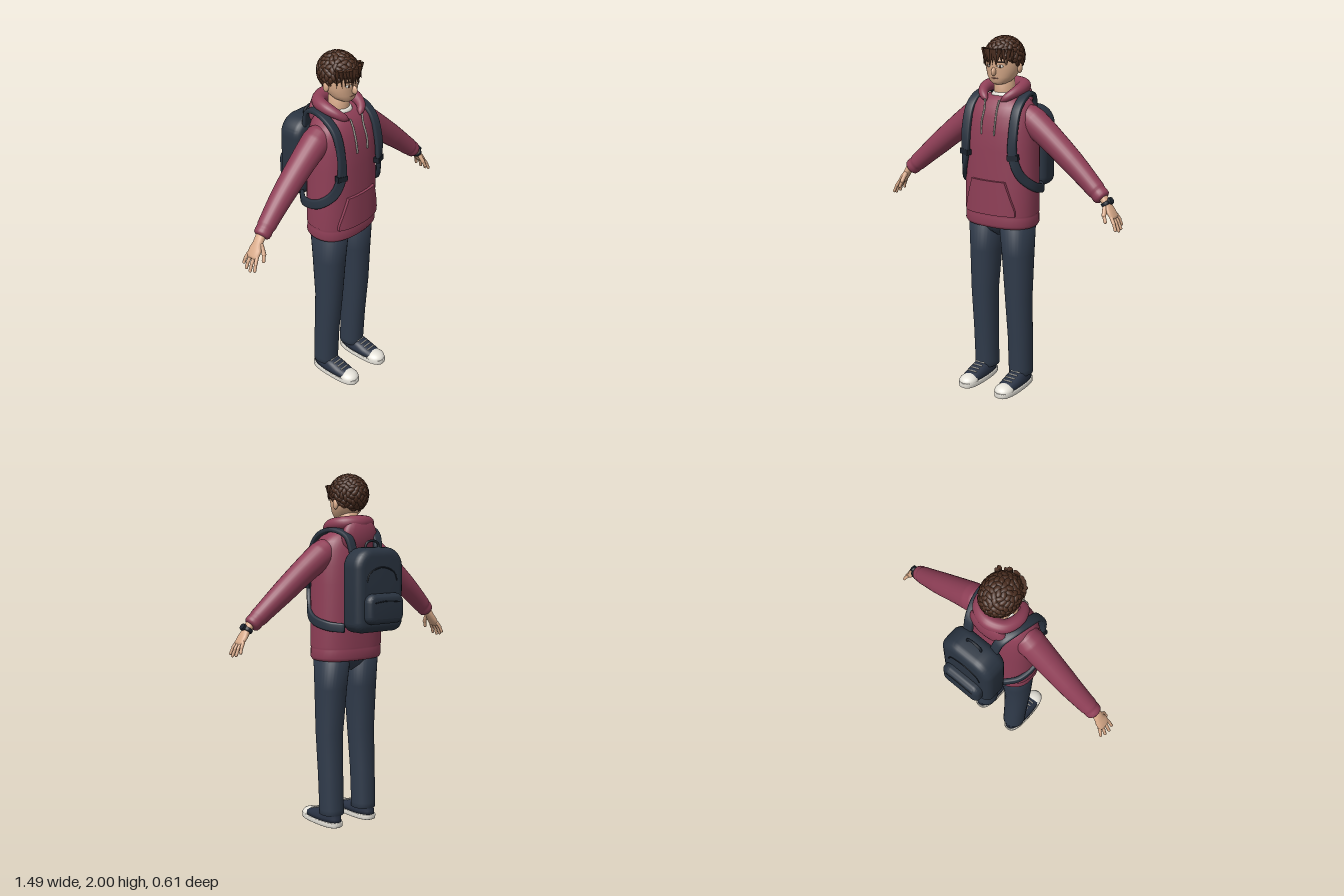
import * as THREE from 'three';
import { mergeGeometries, toCreasedNormals } from 'three/addons/utils/BufferGeometryUtils.js';

const V = (x, y, z) => new THREE.Vector3(x, y, z);
const mat = (name, color) => new THREE.MeshStandardMaterial({ name, color });
const M = {
  hoodie: mat('burgundy cotton', 0x8f3f57), denim: mat('dark denim', 0x303b4b),
  pack: mat('backpack fabric', 0x2a3441), trim: mat('dark trim', 0x1c232d),
  skin: mat('skin', 0xd9ab8a), hair: mat('brown hair', 0x4a2d1f),
  white: mat('off white', 0xe6e3da), cord: mat('cord grey', 0xb9b6ae),
  shoe: mat('navy canvas', 0x2a3344), lip: mat('lip', 0xa9705f),
};

function add(parent, name, geo, material, pos = [0, 0, 0], rot = [0, 0, 0], scale = [1, 1, 1]) {
  const m = new THREE.Mesh(geo, material);
  m.name = name;
  m.position.set(...pos); m.rotation.set(...rot); m.scale.set(...scale);
  parent.add(m);
  return m;
}

// Closed skin over a row of point rings
function skinRings(rings) {
  const n = rings[0].length, pos = [], idx = [];
  rings.forEach(r => r.forEach(p => pos.push(p.x, p.y, p.z)));
  for (let i = 0; i < rings.length - 1; i++) for (let j = 0; j < n; j++) {
    const a = i * n + j, b = i * n + (j + 1) % n, c = a + n, d = b + n;
    idx.push(a, c, b, b, c, d);
  }
  [0, rings.length - 1].forEach((ri, end) => {
    const mid = rings[ri].reduce((s, p) => s.add(p), V(0, 0, 0)).divideScalar(n);
    const k = pos.length / 3;
    pos.push(mid.x, mid.y, mid.z);
    for (let j = 0; j < n; j++) {
      const a = ri * n + j, b = ri * n + (j + 1) % n;
      if (end) idx.push(k, b, a); else idx.push(k, a, b);
    }
  });
  const g = new THREE.BufferGeometry();
  g.setAttribute('position', new THREE.Float32BufferAttribute(pos, 3));
  g.setIndex(idx);
  g.computeVertexNormals();
  return g;
}

const pw = (v, n) => Math.sign(v) * Math.abs(v) ** (2 / n);

// Horizontal sections [y, cx, cz, rx, rz], lowest first
function loft(sections, n = 2, seg = 32) {
  return skinRings(sections.map(([y, cx, cz, rx, rz]) => Array.from({ length: seg }, (_, j) => {
    const a = j / seg * Math.PI * 2;
    return V(cx + rx * pw(Math.cos(a), n), y, cz + rz * pw(Math.sin(a), n));
  })));
}

// Round tube along points, radii given as [t, r] pairs
function tube(pts, radii, steps = 32, seg = 14) {
  const curve = new THREE.CatmullRomCurve3(pts.map(p => V(...p)));
  const f = curve.computeFrenetFrames(steps, false);
  const radius = t => {
    let k = 1;
    while (k < radii.length - 1 && radii[k][0] < t) k++;
    const [t0, r0] = radii[k - 1], [t1, r1] = radii[k];
    return r0 + (r1 - r0) * (t - t0) / (t1 - t0);
  };
  return skinRings(Array.from({ length: steps + 1 }, (_, i) => {
    const p = curve.getPointAt(i / steps), r = radius(i / steps);
    return Array.from({ length: seg }, (_, j) => {
      const a = j / seg * Math.PI * 2;
      return p.clone().addScaledVector(f.normals[i], r * Math.cos(a)).addScaledVector(f.binormals[i], -r * Math.sin(a));
    });
  }));
}
const cord = (pts, r, steps = 20) => tube(pts, [[0, r], [1, r]], steps, 8);

// Flat strap that hugs the torso
function strap(pts, halfWidth, halfThick) {
  const curve = new THREE.CatmullRomCurve3(pts.map(p => V(...p))), steps = 56;
  return skinRings(Array.from({ length: steps + 1 }, (_, i) => {
    const p = curve.getPointAt(i / steps), t = curve.getTangentAt(i / steps);
    const k = THREE.MathUtils.smoothstep(p.y, 1.2, 1.5);
    const out = p.clone().sub(V(p.x * k, Math.min(p.y, 1.5), 0.055));
    const w = t.clone().cross(out).normalize(), n = w.clone().cross(t);
    return Array.from({ length: 16 }, (_, j) => {
      const a = j / 16 * Math.PI * 2;
      return p.clone().addScaledVector(w, halfWidth * pw(Math.cos(a), 4)).addScaledVector(n, halfThick * pw(Math.sin(a), 4));
    });
  }));
}

// Upright cushion with rounded outline, base at y = 0, centred in z
function cushion(w, h, rTop, rBot, depth, bevel) {
  const s = new THREE.Shape(), P = Math.PI;
  s.absarc(w - rBot, rBot, rBot, -P / 2, 0);
  s.absarc(w - rTop, h - rTop, rTop, 0, P / 2);
  s.absarc(rTop - w, h - rTop, rTop, P / 2, P);
  s.absarc(rBot - w, rBot, rBot, P, 1.5 * P);
  const g = new THREE.ExtrudeGeometry(s, { depth: depth - 2 * bevel, bevelEnabled: true, bevelSize: bevel, bevelThickness: bevel, bevelOffset: -bevel, bevelSegments: 5, curveSegments: 10 });
  return toCreasedNormals(g.translate(0, 0, bevel - depth / 2), 0.7);
}

function limb(parent, name, a, b, r, material) {
  const A = V(...a), B = V(...b), d = B.clone().sub(A);
  const m = add(parent, name, new THREE.CapsuleGeometry(r, d.length(), 4, 10), material);
  m.position.copy(A).add(B).multiplyScalar(0.5);
  m.quaternion.setFromUnitVectors(V(0, 1, 0), d.normalize());
}

const ball = (r = 1) => new THREE.SphereGeometry(r, 20, 14);

function buildHead(root) {
  const g = new THREE.Group(); g.name = 'head'; root.add(g);
  add(g, 'neck', loft([[1.64, 0, 0.035, 0.06, 0.06], [1.7, 0, 0.04, 0.056, 0.058], [1.8, 0, 0.045, 0.056, 0.058]]), M.skin);
  add(g, 'face', loft([[1.742, 0, 0.092, 0.018, 0.02], [1.747, 0, 0.088, 0.035, 0.037], [1.76, 0, 0.077, 0.057, 0.057], [1.785, 0, 0.063, 0.077, 0.076],
    [1.82, 0, 0.05, 0.09, 0.093], [1.86, 0, 0.045, 0.095, 0.104], [1.92, 0, 0.04, 0.092, 0.102], [1.96, 0, 0.04, 0.065, 0.075], [1.98, 0, 0.04, 0.02, 0.03]], 2.15), M.skin);
  add(g, 'nose', ball(), M.skin, [0, 1.815, 0.146], [-0.25, 0, 0], [0.012, 0.024, 0.02]);
  add(g, 'mouth', ball(), M.lip, [0, 1.779, 0.135], [0, 0, 0], [0.022, 0.004, 0.005]);
  for (const s of [-1, 1]) {
    add(g, 'ear', ball(), M.skin, [s * 0.094, 1.83, 0.035], [0, 0, 0], [0.012, 0.028, 0.018]);
    add(g, 'eye', ball(), M.white, [s * 0.038, 1.845, 0.139], [0, s * 0.3, 0], [0.016, 0.008, 0.005]);
    add(g, 'iris', ball(), M.hair, [s * 0.038, 1.845, 0.142], [0, s * 0.3, 0], [0.007, 0.008, 0.004]);
    limb(g, 'eyebrow', [s * 0.022, 1.866, 0.149], [s * 0.055, 1.867, 0.133], 0.004, M.hair);
  }
  // Curly hair: overlapping clumps over a cap, plus a pointed fringe
  let seed = 7;
  const rnd = () => (seed = (seed * 16807) % 2147483647) / 2147483647;
  const clumps = [], N = 210, o = new THREE.Object3D();
  for (let i = 0; i < N; i++) {
    const y = 1 - 2 * (i + 0.5) / N, a = i * 2.39996, r = Math.sqrt(1 - y * y);
    const d = V(r * Math.cos(a), y, r * Math.sin(a));
    if (y < -0.5 + 0.65 * Math.max(d.z, 0) + 0.55 * Math.min(d.z, 0)) continue;
    o.position.set(d.x * 0.094, 1.886 + d.y * 0.099, 0.036 + d.z * 0.109);
    o.quaternion.setFromUnitVectors(V(0, 0, 1), d);
    o.rotateZ(rnd() * 6.28); o.rotateX(rnd() * 0.7 - 0.35);
    o.scale.set(0.026, 0.016, 0.014);
    o.updateMatrix();
    clumps.push(new THREE.SphereGeometry(1, 10, 8).applyMatrix4(o.matrix));
  }
  for (let i = 0; i < 13; i++) {
    const x = -0.088 + i * 0.0147, len = 0.075 + rnd() * 0.03;
    o.position.set(x, 1.935 - len / 2, 0.036 + 0.119 * Math.sqrt(1 - (x / 0.108) ** 2));
    o.rotation.set(Math.PI, 0, (rnd() - 0.5) * 0.5);
    o.scale.set(0.015, len, 0.01);
    o.updateMatrix();
    clumps.push(new THREE.ConeGeometry(1, 1, 8).applyMatrix4(o.matrix));
  }
  add(g, 'hairCap', ball(), M.hair, [0, 1.89, 0.025], [0, 0, 0], [0.095, 0.098, 0.106]);
  add(g, 'hairCurls', mergeGeometries(clumps), M.hair);
}

function buildHoodie(root) {
  const g = new THREE.Group(); g.name = 'hoodie'; root.add(g);
  add(g, 'torso', loft([[0.965, 0, 0.063, 0.19, 0.125], [0.968, 0, 0.063, 0.205, 0.137], [0.985, 0, 0.063, 0.215, 0.147], [1.03, 0, 0.063, 0.214, 0.146],
    [1.037, 0, 0.063, 0.21, 0.142], [1.045, 0, 0.063, 0.216, 0.147], [1.2, 0, 0.062, 0.214, 0.146], [1.4, 0, 0.06, 0.212, 0.145],
    [1.5, 0, 0.059, 0.208, 0.141], [1.58, 0, 0.056, 0.198, 0.131], [1.63, 0, 0.052, 0.18, 0.116], [1.66, 0, 0.048, 0.15, 0.1],
    [1.68, 0, 0.044, 0.11, 0.08], [1.683, 0, 0.044, 0.08, 0.07]], 2.4, 40), M.hoodie);
  add(g, 'shirtCollar', loft([[1.66, 0, 0.045, 0.075, 0.078], [1.692, 0, 0.043, 0.066, 0.068], [1.698, 0, 0.042, 0.06, 0.062]]), M.white);
  // Front pouch bent round the belly
  const pouch = new THREE.BoxGeometry(2, 1, 1, 20, 8, 1), p = pouch.attributes.position;
  for (let i = 0; i < p.count; i++) {
    const v = p.getY(i) + 0.5, y = 1.045 + v * 0.19;
    const x = p.getX(i) * (0.158 - 0.053 * Math.max(0, (v - 0.15) / 0.85));
    const z = 0.063 + 0.147 * (1 - (Math.abs(x) / 0.215) ** 2.4) ** (1 / 2.4);
    p.setXYZ(i, x, y, z + (p.getZ(i) > 0 ? 0.013 : -0.012));
  }
  add(g, 'frontPouch', toCreasedNormals(pouch, 0.6), M.hoodie);
  // Hood rolled down round the neck
  const half = [[0.045, 1.66, 0.15], [0.09, 1.695, 0.115], [0.108, 1.72, 0.045], [0.08, 1.728, -0.03]];
  add(g, 'hoodRoll', tube([...half, [0, 1.73, -0.06], ...half.slice().reverse().map(([x, y, z]) => [-x, y, z])],
    [[0, 0.004], [0.04, 0.02], [0.2, 0.032], [0.5, 0.042], [0.8, 0.032], [0.96, 0.02], [1, 0.004]], 56, 18), M.hoodie);
  add(g, 'hoodBag', ball(), M.hoodie, [0, 1.655, -0.058], [-0.1, 0, 0], [0.118, 0.105, 0.048]);
  for (const s of [-1, 1]) {
    add(g, 'drawstring', cord([[s * 0.046, 1.67, 0.162], [s * 0.04, 1.62, 0.178], [s * 0.043, 1.55, 0.201], [s * 0.04, 1.485, 0.209]], 0.005), M.cord);
    add(g, 'sleeve', tube([[s * 0.115, 1.605, 0.045], [s * 0.28, 1.486, 0.05], [s * 0.47, 1.333, 0.058], [s * 0.632, 1.194, 0.074]],
      [[0, 0.045], [0.06, 0.07], [0.14, 0.078], [0.35, 0.07], [0.6, 0.063], [0.85, 0.052], [0.91, 0.05], [0.93, 0.045], [0.96, 0.047], [0.99, 0.044], [1, 0.034]], 80, 24), M.hoodie);
  }
}

function buildHand(root, s) {
  const g = new THREE.Group(); g.name = s > 0 ? 'leftHand' : 'rightHand';
  g.position.set(s * 0.638, 1.195, 0.076);
  g.rotation.z = s * 0.62;
  root.add(g);
  add(g, 'palm', loft([[-0.118, 0, 0.002, 0.008, 0.032], [-0.105, 0, 0.002, 0.014, 0.039], [-0.07, 0, 0.002, 0.017, 0.039], [-0.035, 0, 0, 0.019, 0.028], [0.03, 0, 0, 0.024, 0.027]], 2.2, 20), M.skin);
  [[-0.031, 0.052], [-0.011, 0.07], [0.011, 0.076], [0.031, 0.066]].forEach(([z, len]) => {
    const k = -0.105 - len * 0.5;
    limb(g, 'finger', [0, -0.1, z], [-s * 0.002, k, z * 1.25], 0.0095, M.skin);
    limb(g, 'fingertip', [-s * 0.002, k, z * 1.25], [-s * 0.01, -0.105 - len, z * 1.4], 0.0085, M.skin);
  });
  limb(g, 'thumb', [-s * 0.004, -0.035, 0.022], [-s * 0.022, -0.075, 0.048], 0.012, M.skin);
  limb(g, 'thumbTip', [-s * 0.022, -0.075, 0.048], [-s * 0.03, -0.108, 0.056], 0.0095, M.skin);
  if (s > 0) {
    add(g, 'watchBand', loft([[-0.036, 0, 0, 0.025, 0.033], [-0.033, 0, 0, 0.027, 0.035], [-0.019, 0, 0, 0.028, 0.035], [-0.016, 0, 0, 0.026, 0.033]], 2.2, 24), M.trim);
    add(g, 'watchCase', new THREE.CylinderGeometry(0.018, 0.02, 0.012, 20), M.trim, [0.031, -0.026, 0], [0, 0, -Math.PI / 2]);
  }
}

function buildLegs(root) {
  add(root, 'trouserSeat', loft([[0.9, 0, 0.063, 0.02, 0.045], [0.93, 0, 0.063, 0.08, 0.085], [0.96, 0, 0.063, 0.15, 0.105], [1.0, 0, 0.063, 0.19, 0.12]]), M.denim);
  for (const s of [-1, 1]) {
    add(root, 'trouserLeg', loft([[0.066, 0.117, 0.05, 0.055, 0.06], [0.07, 0.117, 0.05, 0.067, 0.072], [0.1, 0.117, 0.05, 0.067, 0.072], [0.3, 0.117, 0.058, 0.069, 0.073],
      [0.55, 0.114, 0.072, 0.075, 0.08], [0.8, 0.107, 0.068, 0.086, 0.096], [0.99, 0.1, 0.064, 0.096, 0.112]]
      .map(([y, x, ...r]) => [y, s * x, ...r]), 2.2), M.denim);
    const shoe = new THREE.Group(); shoe.name = 'shoe'; shoe.position.x = s * 0.122; root.add(shoe);
    add(shoe, 'sole', loft([[0, 0, 0.135, 0.056, 0.158], [0.004, 0, 0.135, 0.061, 0.164], [0.026, 0, 0.135, 0.062, 0.165], [0.031, 0, 0.135, 0.058, 0.161]], 2.7, 40), M.white);
    add(shoe, 'upper', loft([[0.028, 0, 0.132, 0.057, 0.157], [0.05, 0, 0.124, 0.056, 0.147], [0.065, 0, 0.1, 0.053, 0.12], [0.08, 0, 0.075, 0.048, 0.095], [0.096, 0, 0.05, 0.042, 0.07]], 2.4, 36), M.shoe);
    add(shoe, 'toeCap', new THREE.SphereGeometry(1, 24, 10, 0, Math.PI * 2, 0, Math.PI / 2), M.white, [0, 0.029, 0.236], [0, 0, 0], [0.055, 0.037, 0.06]);
    for (let i = 0; i < 4; i++) {
      const z = 0.2 - i * 0.027, y = 0.072 + i * 0.008;
      limb(shoe, 'lace', [-0.026, y, z], [0.026, y, z], 0.004, M.white);
    }
  }
}

function buildBackpack(root) {
  const g = new THREE.Group(); g.name = 'backpack'; root.add(g);
  add(g, 'packBody', cushion(0.165, 0.46, 0.11, 0.06, 0.155, 0.045), M.pack, [0, 1.14, -0.178]);
  add(g, 'packPocket', cushion(0.125, 0.165, 0.05, 0.045, 0.07, 0.03), M.pack, [0, 1.19, -0.267]);
  add(g, 'packZip', cord([[-0.105, 1.42, -0.255], [-0.085, 1.465, -0.255], [0, 1.495, -0.256], [0.085, 1.465, -0.255], [0.105, 1.42, -0.255]], 0.004), M.trim);
  add(g, 'pocketZip', cord([[-0.09, 1.308, -0.3], [0, 1.316, -0.301], [0.09, 1.308, -0.3]], 0.004), M.trim);
  add(g, 'carryHandle', cord([[-0.045, 1.585, -0.168], [-0.04, 1.62, -0.168], [0, 1.635, -0.168], [0.04, 1.62, -0.168], [0.045, 1.585, -0.168]], 0.007), M.trim);
  for (const s of [-1, 1]) {
    add(g, 'shoulderStrap', strap([[0.085, 1.55, -0.12], [0.1, 1.655, -0.085], [0.125, 1.69, -0.015], [0.143, 1.683, 0.07], [0.148, 1.625, 0.15], [0.15, 1.5, 0.192], [0.152, 1.38, 0.197],
      [0.18, 1.275, 0.168], [0.217, 1.205, 0.09], [0.2, 1.17, -0.03], [0.14, 1.16, -0.105]].map(([x, y, z]) => [s * x, y, z]), 0.026, 0.013), M.pack);
    add(g, 'strapBuckle', new THREE.BoxGeometry(0.06, 0.03, 0.032), M.trim, [s * 0.153, 1.375, 0.196], [0, s * 0.25, s * 0.08]);
  }
}

export function createModel() {
  const root = new THREE.Group();
  root.name = 'student';
  buildHead(root);
  buildHoodie(root);
  buildHand(root, 1);
  buildHand(root, -1);
  buildLegs(root);
  buildBackpack(root);
  return root;
}
